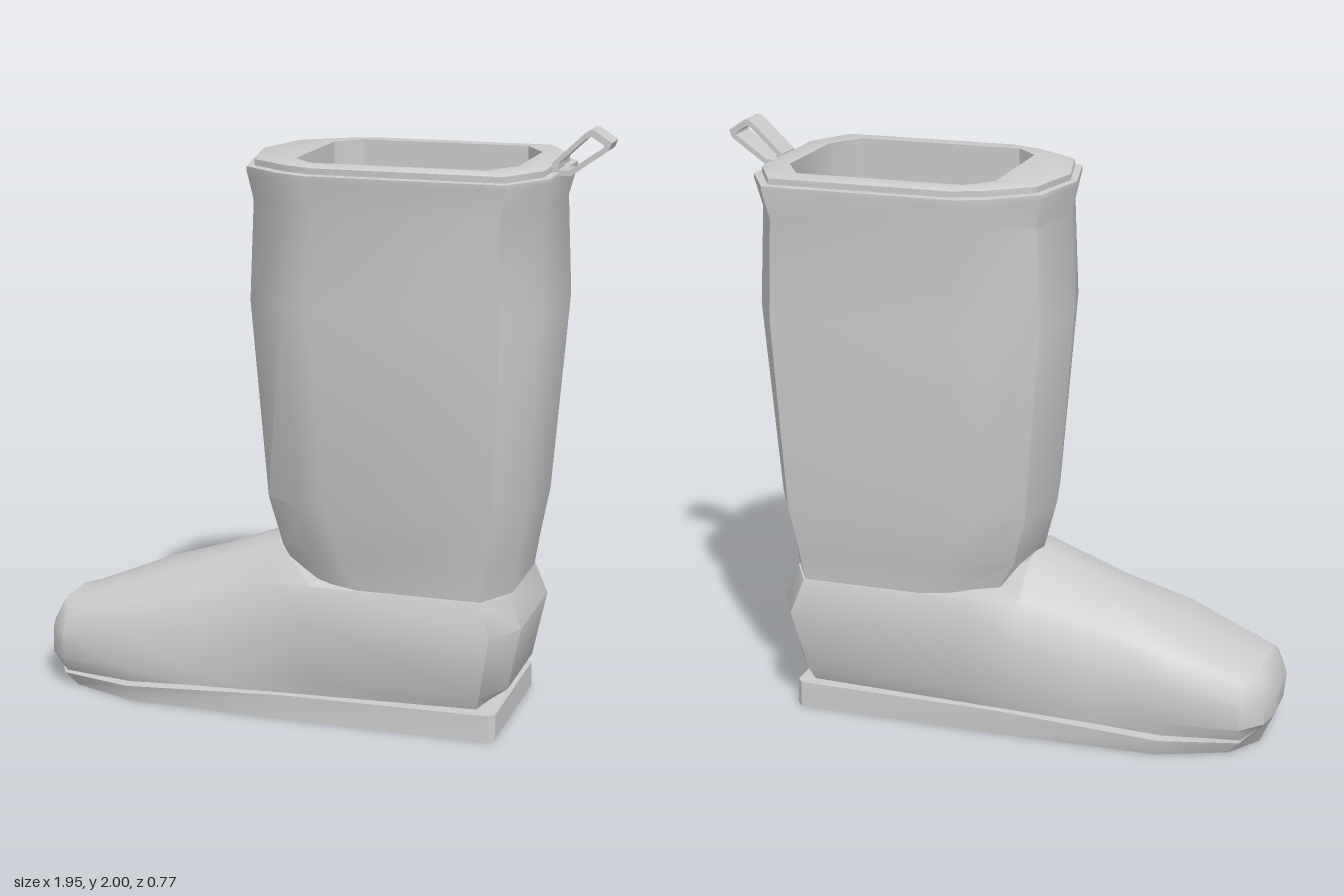
import * as THREE from 'three';
import { toCreasedNormals } from 'three/addons/utils/BufferGeometryUtils.js';

const material = new THREE.MeshStandardMaterial({ color: 0xcccccc });

// Complete a half outline (z >= 0) with its mirror image
const mirrorRing = (half) => [
  ...half,
  ...half.filter((p) => p[2] !== 0).reverse().map(([x, y, z]) => [x, y, -z]),
];

// Skin a series of half outlines, closing the ends with strips across z
function loft(halves, capStart, capEnd, crease) {
  const rings = halves.map(mirrorRing);
  const n = rings[0].length;
  const index = [];
  const quad = (a, b, c, d) => index.push(a, b, c, a, c, d);
  for (let i = 0; i < rings.length - 1; i++) {
    for (let j = 0; j < n; j++) {
      const k = (j + 1) % n;
      quad(i * n + j, i * n + k, (i + 1) * n + k, (i + 1) * n + j);
    }
  }
  const shift = rings[0][0][2] === 0 ? n : n - 1;
  const twin = (j) => (shift - j) % n;
  const last = (rings.length - 1) * n;
  for (let j = 0; j < halves[0].length - 1; j++) {
    if (capStart) quad(twin(j), twin(j + 1), j + 1, j);
    if (capEnd) quad(last + j, last + j + 1, last + twin(j + 1), last + twin(j));
  }
  const geometry = new THREE.BufferGeometry();
  geometry.setAttribute('position', new THREE.Float32BufferAttribute(rings.flat(2), 3));
  geometry.setIndex(index);
  return toCreasedNormals(geometry, crease);
}

function part(name, geometry) {
  const mesh = new THREE.Mesh(geometry, material);
  mesh.name = name;
  return mesh;
}

// Shaft outline: front x, back x, rear corner x, half width
const shaftRing = ([y, f, b, c, w]) => [
  [f, y, 0], [f + 0.05, y, 0.6 * w], [f + 0.19, y, 0.89 * w],
  [f + 0.29, y, w], [c, y, w], [b, y, 0.55 * w],
];

const openingRing = (y) => [
  [-0.03, y, 0], [-0.03, y, 0.21], [0.01, y, 0.255],
  [0.05, y, 0.295], [0.62, y, 0.295], [0.695, y, 0.17],
];

export function createModel() {
  const boot = new THREE.Group();
  boot.name = 'boot';

  // Shaft: outer wall, rim step, then the hollow inside
  const shaftLevels = [
    [0.42, -0.07, 0.69, 0.62, 0.295],
    [0.48, -0.08, 0.70, 0.625, 0.3],
    [0.58, -0.135, 0.715, 0.64, 0.312],
    [0.75, -0.18, 0.745, 0.665, 0.34],
    [1.42, -0.232, 0.795, 0.695, 0.377],
    [1.75, -0.22, 0.78, 0.685, 0.37],
    [1.845, -0.24, 0.805, 0.705, 0.387],
    [1.86, -0.24, 0.805, 0.705, 0.387],
    [1.862, -0.218, 0.782, 0.692, 0.362],
    [1.882, -0.218, 0.782, 0.692, 0.362],
    [1.89, -0.205, 0.77, 0.685, 0.352],
  ];
  boot.add(part('shaft', loft(
    [...shaftLevels.map(shaftRing), openingRing(1.89), openingRing(0.8)], false, true, 0.7)));

  // Foot: sections from heel to toe, each from bottom edge to top centre
  const section = (x, pts) => pts.map(([y, z]) => [x, y, z]);
  const foot = [
    [[0.63, 0.1, 0.17], [0.695, 0.15, 0.18], [0.74, 0.37, 0.2],
      [0.7, 0.48, 0.18], [0.6, 0.48, 0.1], [0.6, 0.48, 0]],
    [[0.61, 0.1, 0.27], [0.625, 0.15, 0.295], [0.665, 0.37, 0.345],
      [0.63, 0.48, 0.305], [0.55, 0.48, 0.1], [0.55, 0.48, 0]],
    section(0.05, [[0.09, 0.28], [0.14, 0.295], [0.36, 0.335], [0.48, 0.305], [0.5, 0.1], [0.5, 0]]),
    section(-0.12, [[0.085, 0.28], [0.14, 0.29], [0.33, 0.31], [0.47, 0.25], [0.57, 0.13], [0.585, 0]]),
    section(-0.39, [[0.075, 0.275], [0.12, 0.28], [0.27, 0.27], [0.4, 0.21], [0.47, 0.12], [0.48, 0]]),
    section(-0.62, [[0.06, 0.265], [0.11, 0.28], [0.24, 0.275], [0.34, 0.235], [0.39, 0.15], [0.4, 0]]),
    section(-0.88, [[0.05, 0.2], [0.1, 0.235], [0.19, 0.235], [0.25, 0.19], [0.285, 0.12], [0.29, 0]]),
    [[-0.93, 0.07, 0.13], [-0.95, 0.1, 0.16], [-0.945, 0.19, 0.165],
      [-0.93, 0.25, 0.14], [-0.92, 0.28, 0.1], [-0.918, 0.285, 0]],
    [[-0.95, 0.09, 0.06], [-0.965, 0.1, 0.08], [-0.975, 0.19, 0.08],
      [-0.945, 0.25, 0.08], [-0.925, 0.28, 0.07], [-0.92, 0.285, 0]],
  ];
  boot.add(part('foot', loft(foot, true, true, 0.75)));

  // Sole: flat underside, top edge dipping behind the toe
  const soleBottom = [
    [-0.92, 0, 0], [-0.92, 0, 0.08], [-0.84, 0, 0.2], [-0.61, 0, 0.29],
    [-0.05, 0, 0.3], [0.655, 0, 0.295], [0.675, 0, 0.27],
  ];
  const soleTop = [
    [-0.965, 0.095, 0], [-0.962, 0.095, 0.08], [-0.88, 0.048, 0.22], [-0.62, 0.055, 0.3],
    [-0.05, 0.085, 0.3], [0.655, 0.088, 0.29], [0.675, 0.088, 0.265],
  ];
  boot.add(part('sole', loft([soleBottom, soleTop], true, true, 0.6)));

  // Pull loop at the back of the rim
  const points = (list) => list.map(([x, y]) => new THREE.Vector2(x, y));
  const loop = new THREE.Shape(points([
    [0.78, 1.85], [0.84, 1.85], [0.96, 1.935], [0.97, 1.96], [0.915, 1.997], [0.9, 2], [0.88, 1.985], [0.78, 1.89],
  ]));
  loop.holes.push(new THREE.Path(points([
    [0.8, 1.868], [0.8, 1.888], [0.89, 1.972], [0.905, 1.978], [0.945, 1.953], [0.945, 1.945], [0.835, 1.868],
  ])));
  const strap = new THREE.ExtrudeGeometry(loop, { depth: 0.105, bevelEnabled: false });
  strap.translate(0, 0, -0.035);
  boot.add(part('pullLoop', toCreasedNormals(strap, 0.7)));

  return boot;
}
